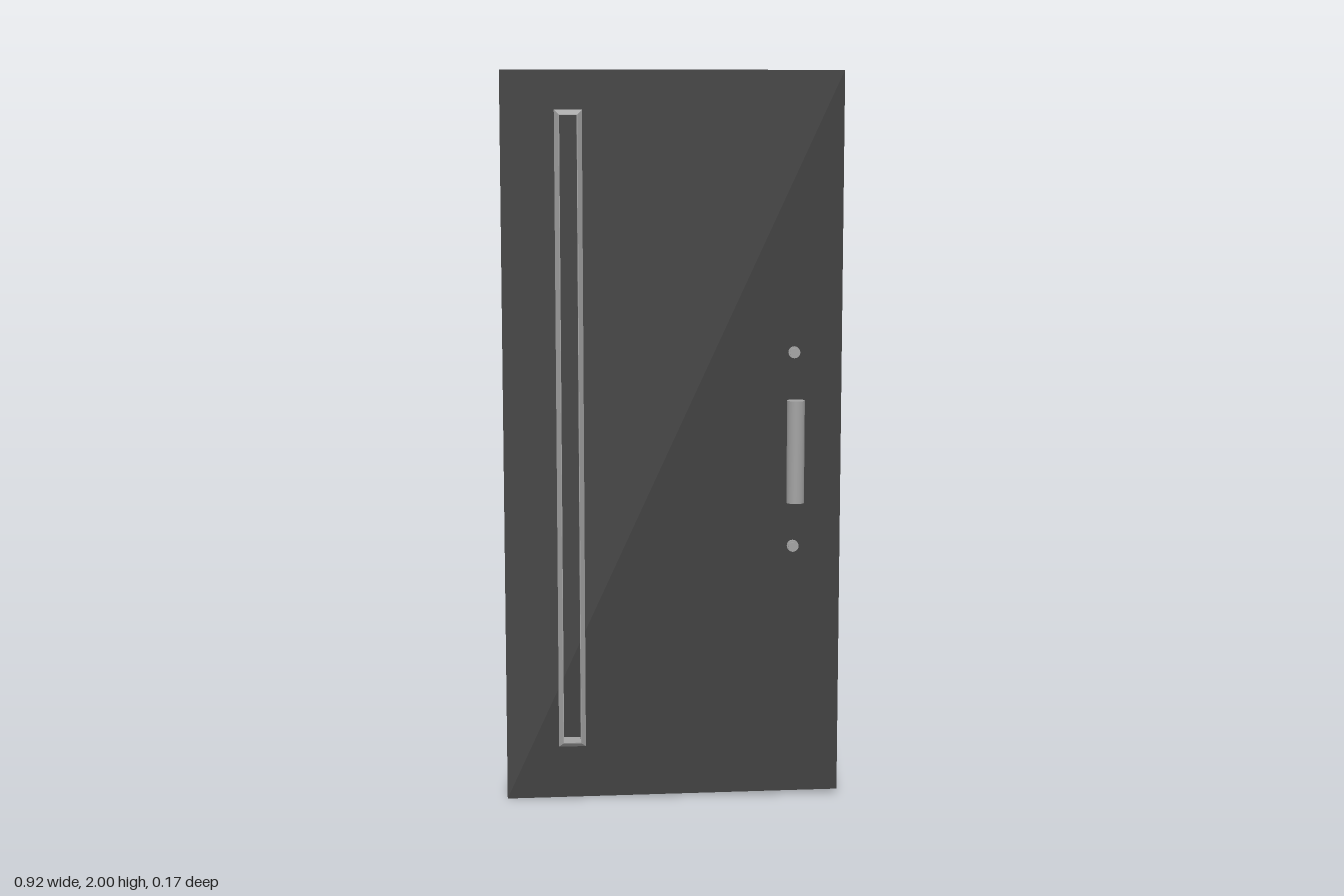
import * as THREE from 'three';

const charcoal = new THREE.MeshStandardMaterial({ color: 0x3d3d3d });
charcoal.name = 'charcoal door';
const steel = new THREE.MeshStandardMaterial({ color: 0xa2a2a2 });
steel.name = 'brushed steel';

const FACE = 0.007; // z of the door's front face

function add(parent, name, geometry, material, x = 0, y = 0, z = 0) {
  const mesh = new THREE.Mesh(geometry, material);
  mesh.name = name;
  mesh.position.set(x, y, z);
  parent.add(mesh);
  return mesh;
}

// Rectangular frame swept from a profile of [inset, z] points
function frameGeometry(w, h, profile) {
  const rings = profile.map(([inset, z]) => {
    const a = w / 2 - inset, b = h / 2 - inset;
    return [[-a, -b, z], [a, -b, z], [a, b, z], [-a, b, z]];
  });
  const pos = [];
  for (let r = 0; r < rings.length - 1; r++) {
    for (let i = 0; i < 4; i++) {
      const j = (i + 1) % 4;
      const a = rings[r][i], b = rings[r][j], c = rings[r + 1][j], d = rings[r + 1][i];
      pos.push(...a, ...b, ...c, ...a, ...c, ...d);
    }
  }
  const g = new THREE.BufferGeometry();
  g.setAttribute('position', new THREE.Float32BufferAttribute(pos, 3));
  g.computeVertexNormals();
  return g;
}

// Cylinder running from z0 to z1
function peg(parent, name, radius, x, y, z0, z1) {
  const g = new THREE.CylinderGeometry(radius, radius, z1 - z0, 20).rotateX(Math.PI / 2);
  return add(parent, name, g, steel, x, y, (z0 + z1) / 2);
}

export function createModel() {
  const model = new THREE.Group();
  model.name = 'frontDoor';

  // Door slab, its lower edge rising slightly towards the handle side
  const slab = new THREE.BoxGeometry(0.92, 2, 0.095).translate(0, 1, 0);
  const p = slab.attributes.position;
  for (let i = 0; i < p.count; i++) {
    if (p.getY(i) < 0.5 && p.getX(i) > 0) p.setY(i, 0.013);
  }
  slab.computeVertexNormals();
  add(model, 'doorSlab', slab, charcoal, 0, 0, FACE - 0.0475);

  // Tall narrow hollow frame with bevelled outer edges
  const profile = [[0, 0], [0, 0.041], [0.012, 0.054], [0.014, 0.054], [0.014, 0]];
  add(model, 'slotFrame', frameGeometry(0.074, 1.735, profile), steel, -0.279, 1.0275, FACE);

  // Pull handle: upright bar on two posts
  const handle = new THREE.Group();
  handle.name = 'pullHandle';
  model.add(handle);
  add(handle, 'handleBar', new THREE.CylinderGeometry(0.024, 0.024, 0.28, 32), steel, 0.33, 0.98, 0.063);
  for (const y of [0.905, 1.06]) peg(handle, 'handlePost', 0.009, 0.33, y, FACE, 0.055);

  // Locks above and below the handle
  for (const y of [0.71, 1.245]) {
    const lock = new THREE.Group();
    lock.name = 'lock';
    model.add(lock);
    peg(lock, 'lockPlate', 0.016, 0.33, y, FACE, 0.017);
    peg(lock, 'lockCore', 0.011, 0.328, y, FACE, 0.024);
  }
  return model;
}
